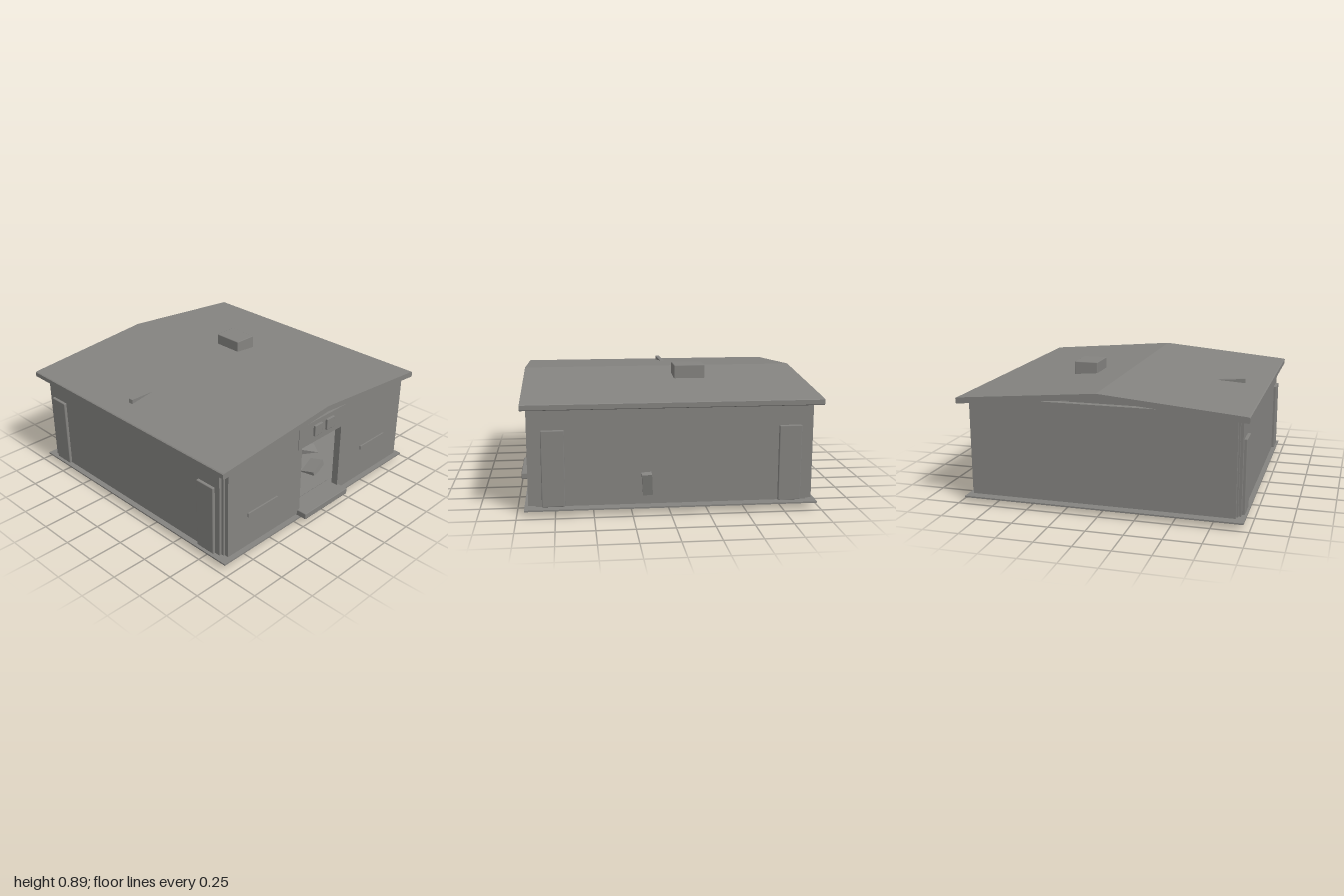
import * as THREE from 'three';
import { RoundedBoxGeometry } from 'three/addons/geometries/RoundedBoxGeometry.js';

export function createModel() {
  const group = new THREE.Group();
  const grey = new THREE.MeshStandardMaterial({ color: 0x848380 });
  grey.name = 'concreteGrey';

  const add = (name, geometry) => {
    const mesh = new THREE.Mesh(geometry, grey);
    mesh.name = name;
    group.add(mesh);
    return mesh;
  };
  // Box given by its extents, with a small bevel where asked
  const box = (name, x0, x1, y0, y1, z0, z1, bevel = 0) => {
    const s = [x1 - x0, y1 - y0, z1 - z0];
    const mesh = add(name, bevel ? new RoundedBoxGeometry(...s, 1, bevel) : new THREE.BoxGeometry(...s));
    mesh.position.set((x0 + x1) / 2, (y0 + y1) / 2, (z0 + z1) / 2);
    return mesh;
  };

  // Ground slab and door step
  box('groundSlab', -0.96, 0.96, 0.035, 0.045, -0.98, 0.95);
  box('doorStep', -0.23, 0.225, 0.045, 0.09, 0.83, 1.0, 0.006);

  // Walls, open above under the gables
  box('backWall', -0.905, 0.905, 0.06, 0.74, -0.95, -0.905);
  box('frontWallRight', -0.905, -0.21, 0.06, 0.74, 0.875, 0.925);
  box('frontWallLeft', 0.205, 0.905, 0.06, 0.74, 0.875, 0.925);
  box('doorHeader', -0.25, 0.245, 0.58, 0.742, 0.873, 0.929);
  for (const s of [-1, 1]) {
    const wall = box('sideWall', 0.885, 0.933, 0.06, 0.712, -0.905, 0.875);
    wall.position.x *= s;
    // Raised pilasters near each end of the side wall
    for (const [z0, z1] of [[0.685, 0.835], [-0.865, -0.715]]) {
      const pilaster = box('pilaster', 0.92, 0.953, 0.06, 0.565, z0, z1, 0.006);
      pilaster.position.x *= s;
    }
    // Corner posts filling the notches between walls
    for (const z of [0.875, -0.905]) {
      const post = box('cornerPost', 0.87, 0.915, 0.06, 0.71, z - 0.02, z + 0.02);
      post.position.x *= s;
    }
  }

  // Wall trim: sign plates over the door and slim bars beside it
  box('plate', -0.105, -0.025, 0.63, 0.71, 0.92, 0.945, 0.004);
  box('plate', 0.02, 0.1, 0.63, 0.71, 0.92, 0.945, 0.004);
  box('wallBar', -0.73, -0.45, 0.287, 0.315, 0.915, 0.936);
  box('wallBar', 0.445, 0.725, 0.287, 0.315, 0.915, 0.936);

  // Shallow gable roof
  const profile = new THREE.Shape([
    [-0.976, 0.701], [0, 0.789], [0.976, 0.701], [0.983, 0.706],
    [0.983, 0.737], [0.976, 0.742], [0, 0.828], [-0.976, 0.742], [-0.983, 0.737], [-0.983, 0.706],
  ].map(([x, y]) => new THREE.Vector2(x, y)));
  const roof = add('roof', new THREE.ExtrudeGeometry(profile, { depth: 1.96, bevelEnabled: false }));
  roof.position.z = -1;
  box('roofVent', 0.215, 0.387, 0.78, 0.887, -0.307, -0.09, 0.006);

  // Loose beam breaking through the roof and shard through the side wall
  const beam = box('looseBeam', -0.82, -0.17, 0.74, 0.77, -0.145, -0.115);
  beam.position.y = 0.749;
  beam.rotation.set(0, 0.09, -0.07);
  const shard = box('wallShard', 0.915, 0.957, 0.12, 0.27, 0.12, 0.185);
  shard.rotation.set(0.06, 0, -0.25);

  // Rubble lying through the floor: x, z, size, turn
  const rubble = [
    [0.55, -0.76, 0.17, 0.4], [-0.585, -0.48, 0.17, 1.0], [-0.05, -0.48, 0.12, 2.2],
    [-0.11, -0.08, 0.13, 0.7], [0.33, -0.04, 0.08, 1.6], [0.47, 0.41, 0.16, 2.6],
    [0.3, 0.62, 0.16, 0.2], [0.85, 0.19, 0.1, 1.2], [0.07, 0.47, 0.1, 2.9],
    [-0.61, 0.52, 0.19, 0.5], [-0.82, 0.12, 0.12, 1.9],
  ];
  rubble.forEach(([x, z, s, turn], i) => {
    const chunk = add('rubble', new THREE.BoxGeometry(s, 0.045, s * 0.65));
    chunk.position.set(x, 0.058, z);
    chunk.rotation.set(0.2 * (i % 2 ? 1 : -1), turn, 0.22);
  });

  return group;
}
